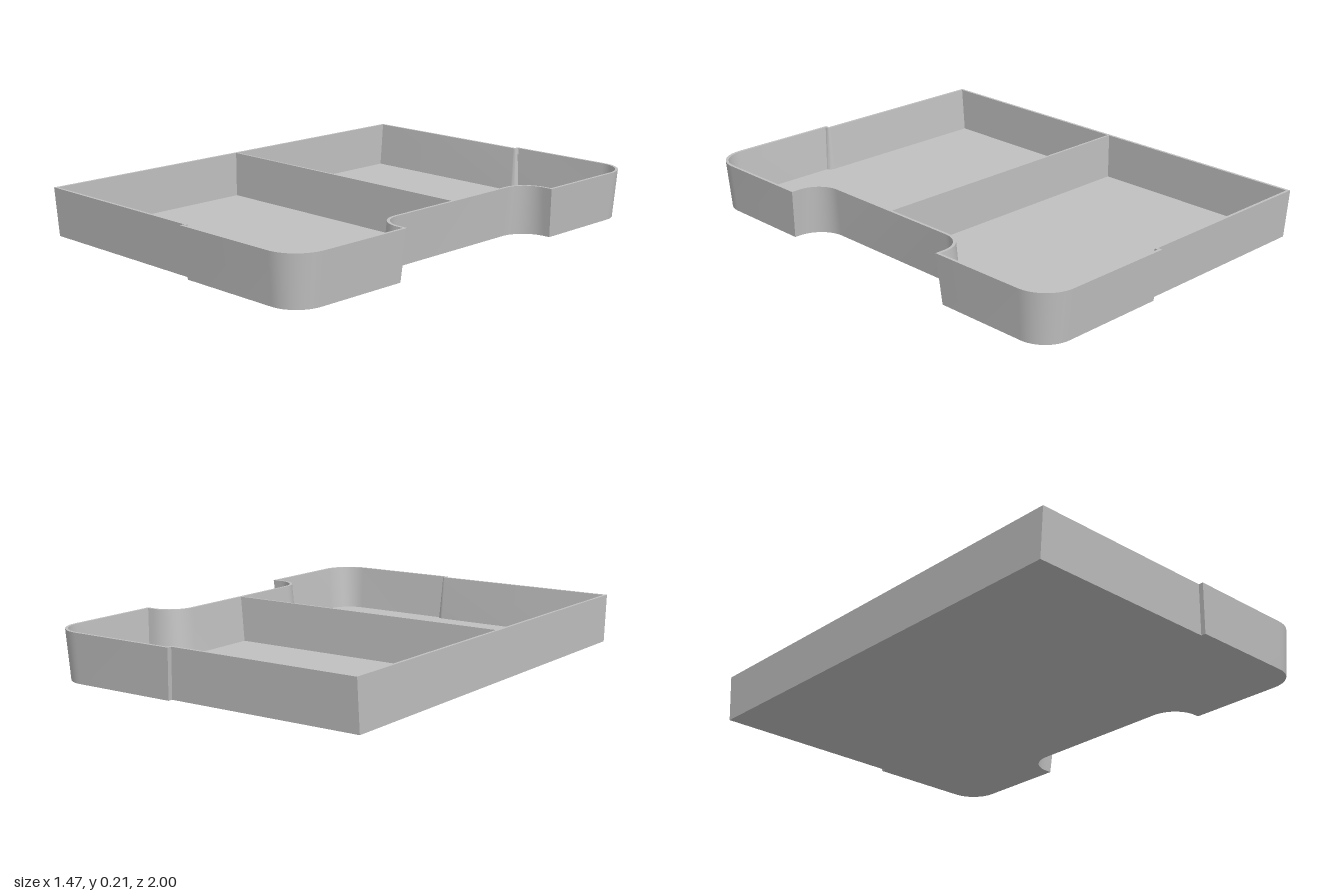
import * as THREE from 'three';
import { toCreasedNormals } from 'three/addons/utils/BufferGeometryUtils.js';

const HEIGHT = 0.21, FLOOR = 0.012, WALL = 0.012, DRAFT = 0.017;

function arc(cx, cz, r, from, to, n = 12) {
  return Array.from({ length: n + 1 }, (_, i) => {
    const a = from + (to - from) * i / n;
    return [cx + r * Math.cos(a), cz + r * Math.sin(a)];
  });
}

// Plan outline as [x, z], inset by d; the left edge is upright, so it has its own inset
function outline(d, leftInset, roundStep) {
  const q = Math.PI / 2;
  const step = roundStep
    ? arc(0.11, 0.98, d, Math.asin(Math.min(0, (0.02 - d) / d)), -q, 6).reverse()
    : [[0.11 + d, 0.98 - d]];
  const half = [
    [-0.735 + leftInset, 0.98 - d],
    ...step,
    [0.11 + d + 0.0005, 1 - d],                    // step to the wider part
    ...arc(0.593, 0.86, 0.14 - d, q, 0),           // rounded outer corner
    [0.733 - d, 0.435 + d],                        // lip of the notch
    ...arc(0.69, 0.33, 0.105 + d, q, 2 * q),       // notch corner
  ];
  return half.concat(half.map(([x, z]) => [x, -z]).reverse());
}

// Wall surface between two matching outlines
function loft(low, y0, high, y1, inward) {
  const pos = [];
  low.forEach((a, i) => {
    const j = (i + 1) % low.length;
    const p = [[a[0], y0, a[1]], [low[j][0], y0, low[j][1]],
      [high[j][0], y1, high[j][1]], [high[i][0], y1, high[i][1]]];
    const order = inward ? [0, 2, 1, 0, 3, 2] : [0, 1, 2, 0, 2, 3];
    order.forEach(k => pos.push(...p[k]));
  });
  const g = new THREE.BufferGeometry();
  g.setAttribute('position', new THREE.Float32BufferAttribute(pos, 3));
  return toCreasedNormals(g, Math.PI / 7);
}

// Flat horizontal face, facing up or down
function flat(points, y, hole, down) {
  const toVec = ([x, z]) => new THREE.Vector2(x, down ? z : -z);
  const shape = new THREE.Shape(points.map(toVec));
  if (hole) shape.holes.push(new THREE.Path(hole.map(toVec)));
  return new THREE.ShapeGeometry(shape).rotateX(down ? Math.PI / 2 : -Math.PI / 2).translate(0, y, 0);
}

export function createModel() {
  const group = new THREE.Group();
  const grey = new THREE.MeshStandardMaterial({ color: 0xc0c0c0 });
  grey.name = 'grey plastic';
  const add = (name, geometry) => {
    const mesh = new THREE.Mesh(geometry, grey);
    mesh.name = name;
    group.add(mesh);
  };

  const outerTop = outline(0, 0, false);
  const outerBottom = outline(DRAFT, 0, false);
  const innerTop = outline(WALL, WALL, true);
  const innerBottom = outline(WALL + DRAFT, WALL, true);

  // Tray shell with drafted sides
  add('outerWall', loft(outerBottom, 0, outerTop, HEIGHT, false));
  add('innerWall', loft(innerBottom, FLOOR, innerTop, HEIGHT, true));
  add('rim', flat(outerTop, HEIGHT, innerTop, false));
  add('floor', flat(innerBottom, FLOOR, null, false));
  add('underside', flat(outerBottom, 0, null, true));

  // Thin divider along the middle, its end following the sloping notch wall
  const side = new THREE.Shape([[-0.725, FLOOR], [0.558, FLOOR], [0.575, HEIGHT], [-0.725, HEIGHT]]
    .map(([x, y]) => new THREE.Vector2(x, y)));
  add('divider', new THREE.ExtrudeGeometry(side, { depth: 0.01, bevelEnabled: false }).translate(0, 0, -0.005));

  return group;
}
